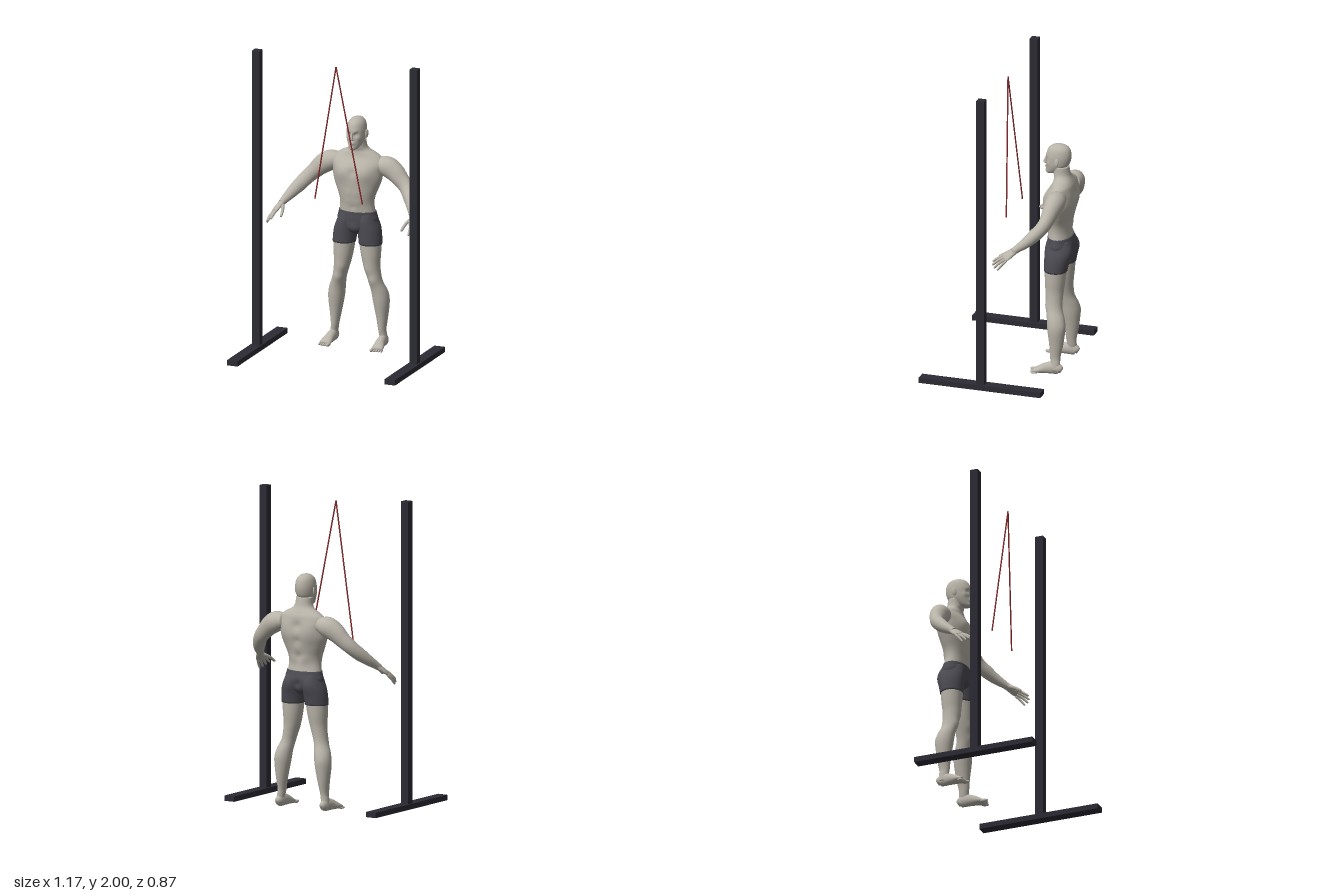
import * as THREE from 'three';

const mat = (name, color) => {
  const m = new THREE.MeshStandardMaterial({ color });
  m.name = name;
  return m;
};

// Smooth tube through cross-sections [x, y, z, a, b]; a lies along ref, b across it.
// level = true keeps every ring horizontal (sections listed from bottom to top).
function loft(sections, { ref = [1, 0, 0], level = false, seg = 24, steps = 5 } = {}) {
  const curve = (f) => new THREE.CatmullRomCurve3(sections.map(f), false, 'catmullrom', 0.5);
  const path = curve((s) => new THREE.Vector3(s[0], s[1], s[2]));
  const size = curve((s) => new THREE.Vector3(s[3], s[4], 0));
  const n = (sections.length - 1) * steps;
  const pos = [], idx = [];
  const r = new THREE.Vector3(...ref);
  for (let i = 0; i <= n; i++) {
    const c = path.getPoint(i / n), s = size.getPoint(i / n);
    const t = level ? new THREE.Vector3(0, 1, 0) : path.getTangent(i / n);
    const u = r.clone().addScaledVector(t, -r.dot(t)).normalize();
    const v = t.clone().cross(u);
    for (let j = 0; j < seg; j++) {
      const k = (j / seg) * Math.PI * 2;
      const p = c.clone().addScaledVector(u, s.x * Math.cos(k)).addScaledVector(v, s.y * Math.sin(k));
      pos.push(p.x, p.y, p.z);
    }
  }
  for (let i = 0; i < n; i++) {
    for (let j = 0; j < seg; j++) {
      const a = i * seg + j, b = i * seg + ((j + 1) % seg);
      idx.push(a, b, b + seg, a, b + seg, a + seg);
    }
  }
  // end caps
  const first = path.getPoint(0), last = path.getPoint(1), k = pos.length / 3;
  pos.push(first.x, first.y, first.z, last.x, last.y, last.z);
  for (let j = 0; j < seg; j++) {
    const q = (j + 1) % seg;
    idx.push(k, q, j, k + 1, n * seg + j, n * seg + q);
  }
  const g = new THREE.BufferGeometry();
  g.setAttribute('position', new THREE.Float32BufferAttribute(pos, 3));
  g.setIndex(idx);
  g.computeVertexNormals();
  return g;
}

// Level sections from [y, halfWidth, frontZ, backZ]
const level = (rows, steps = 5, seg = 40) => loft(
  rows.map(([y, w, f, b]) => [0, y, (f + b) / 2, w, (f - b) / 2]), { level: true, steps, seg });

// Soft swellings and hollows [x, y, z, radius, height], the same on both sides
function sculpt(g, bumps) {
  const p = g.attributes.position, nrm = g.attributes.normal;
  for (let i = 0; i < p.count; i++) {
    const x = p.getX(i), y = p.getY(i), z = p.getZ(i);
    let d = 0;
    for (const [bx, by, bz, r, h] of bumps) {
      d += h * Math.exp(-((Math.abs(x) - bx) ** 2 + (y - by) ** 2 + (z - bz) ** 2) / (r * r));
    }
    p.setXYZ(i, x + nrm.getX(i) * d, y + nrm.getY(i) * d, z + nrm.getZ(i) * d);
  }
  g.computeVertexNormals();
  return g;
}

function mirrored(g) {
  const m = g.clone().scale(-1, 1, 1), a = m.index.array;
  for (let i = 0; i < a.length; i += 3) [a[i], a[i + 1]] = [a[i + 1], a[i]];
  m.computeVertexNormals();
  return m;
}

export function createModel() {
  const model = new THREE.Group();
  const skin = mat('skin', 0xb9b4a9);
  const cloth = mat('shorts grey', 0x4c4b53);
  const frame = mat('frame black', 0x2c2b34);
  const red = mat('band red', 0x8e2b2b);

  const add = (name, g, m) => {
    const mesh = new THREE.Mesh(g, m);
    mesh.name = name;
    model.add(mesh);
    return mesh;
  };
  const pair = (name, g, m) => {
    add(name + 'Left', g, m);
    add(name + 'Right', mirrored(g), m);
  };

  // Stand: two uprights on long floor beams
  for (const s of [1, -1]) {
    const side = s > 0 ? 'Left' : 'Right';
    add('upright' + side, new THREE.BoxGeometry(0.053, 1.97, 0.053), frame).position.set(s * 0.548, 1.015, 0.025);
    add('floorBeam' + side, new THREE.BoxGeometry(0.073, 0.035, 0.82), frame).position.set(s * 0.548, 0.0175, 0.025);
  }

  // Hanging band
  for (const s of [1, -1]) {
    const top = new THREE.Vector3(0, 1.95, 0.025), end = new THREE.Vector3(s * 0.165, 1.04, -0.018);
    add('band' + (s > 0 ? 'Left' : 'Right'),
      new THREE.TubeGeometry(new THREE.LineCurve3(top, end), 1, 0.0048, 8), red);
  }

  // Torso and neck
  add('torso', sculpt(level([
    [0.89, 0.122, -0.256, -0.408], [0.95, 0.115, -0.25, -0.40], [1.0, 0.122, -0.242, -0.405],
    [1.06, 0.145, -0.238, -0.42], [1.12, 0.165, -0.238, -0.432], [1.18, 0.17, -0.243, -0.432],
    [1.22, 0.175, -0.258, -0.43], [1.26, 0.155, -0.282, -0.425], [1.285, 0.12, -0.29, -0.415],
    [1.305, 0.08, -0.292, -0.405], [1.33, 0.06, -0.285, -0.395], [1.38, 0.055, -0.28, -0.385],
  ], 6, 56), [
    [0.075, 1.16, -0.25, 0.055, 0.014], [0, 1.17, -0.24, 0.025, -0.008], // chest
    [0.03, 1.03, -0.24, 0.025, 0.003], [0.03, 0.97, -0.245, 0.025, 0.003], [0, 0.935, -0.25, 0.012, -0.004],
    [0.09, 1.17, -0.42, 0.06, 0.012], [0.04, 0.98, -0.40, 0.035, 0.006], // back
    [0, 1.2, -0.43, 0.03, -0.012], [0, 1.1, -0.43, 0.03, -0.01], [0, 1.0, -0.405, 0.025, -0.008],
  ]), skin);

  // Head
  add('head', sculpt(level([
    [1.322, 0.012, -0.243, -0.275], [1.33, 0.029, -0.238, -0.31], [1.35, 0.043, -0.236, -0.345],
    [1.38, 0.056, -0.236, -0.38], [1.41, 0.061, -0.236, -0.395], [1.45, 0.062, -0.236, -0.402],
    [1.49, 0.054, -0.248, -0.395], [1.513, 0.038, -0.27, -0.376], [1.523, 0.02, -0.295, -0.35],
    [1.527, 0.002, -0.32, -0.325],
  ], 6, 56), [
    [0.025, 1.425, -0.24, 0.014, -0.01], [0.022, 1.445, -0.24, 0.014, 0.004], // eyes and brow
    [0.042, 1.40, -0.255, 0.018, 0.004], [0, 1.336, -0.24, 0.018, 0.007], // cheeks and chin
    [0, 1.368, -0.236, 0.012, 0.008], [0.012, 1.368, -0.238, 0.01, 0.003],
  ]), skin);
  add('nose', loft([
    [0, 1.386, -0.232, 0.011, 0.008], [0, 1.392, -0.226, 0.014, 0.013], [0, 1.402, -0.226, 0.010, 0.011],
    [0, 1.42, -0.233, 0.007, 0.009], [0, 1.44, -0.238, 0.006, 0.006],
  ], { level: true, seg: 14 }), skin);
  const ear = new THREE.SphereGeometry(1, 14, 10).scale(0.007, 0.028, 0.017);
  ear.rotateY(-0.35).rotateX(-0.15).translate(0.066, 1.418, -0.322);
  pair('ear', ear, skin);

  // Arms
  pair('arm', sculpt(loft([
    [0.13, 1.215, -0.362, 0.05, 0.045], [0.19, 1.203, -0.36, 0.064, 0.064], [0.25, 1.172, -0.353, 0.057, 0.063],
    [0.30, 1.127, -0.343, 0.047, 0.053], [0.345, 1.083, -0.323, 0.043, 0.047], [0.385, 1.035, -0.282, 0.04, 0.044],
    [0.42, 0.992, -0.233, 0.034, 0.036], [0.447, 0.955, -0.183, 0.025, 0.026], [0.46, 0.937, -0.16, 0.024, 0.021],
  ], { ref: [0, 0, 1] }), [
    [0.22, 1.23, -0.36, 0.05, 0.005], [0.27, 1.13, -0.30, 0.035, 0.005], [0.38, 1.06, -0.25, 0.03, 0.004],
  ]), skin);

  // Hands
  const across = [0.7, -0.4, -0.35];
  pair('palm', loft([
    [0.449, 0.951, -0.178, 0.022, 0.02], [0.46, 0.935, -0.158, 0.029, 0.018],
    [0.474, 0.914, -0.13, 0.036, 0.015], [0.485, 0.895, -0.108, 0.034, 0.010],
  ], { ref: across, seg: 16 }), skin);
  const finger = (name, a, b, c, r) => pair(name, loft([
    [...a, r, r], [...b, r, r], [...c, r * 0.75, r * 0.75],
    [...c.map((v, i) => v + (c[i] - b[i]) * 0.12), r * 0.2, r * 0.2],
  ], { ref: across, seg: 10, steps: 3 }), skin);
  finger('thumb', [0.447, 0.937, -0.152], [0.427, 0.912, -0.107], [0.419, 0.882, -0.062], 0.0105);
  finger('indexFinger', [0.462, 0.912, -0.112], [0.472, 0.892, -0.072], [0.478, 0.866, -0.034], 0.009);
  finger('middleFinger', [0.477, 0.904, -0.114], [0.491, 0.880, -0.073], [0.50, 0.850, -0.038], 0.009);
  finger('ringFinger', [0.490, 0.895, -0.120], [0.506, 0.868, -0.083], [0.514, 0.836, -0.053], 0.009);
  finger('littleFinger', [0.502, 0.888, -0.129], [0.514, 0.858, -0.101], [0.521, 0.826, -0.077], 0.008);

  // Shorts
  add('shortsWaist', sculpt(level([
    [0.745, 0.03, -0.295, -0.37], [0.77, 0.08, -0.268, -0.40], [0.80, 0.125, -0.254, -0.415],
    [0.85, 0.137, -0.251, -0.42], [0.88, 0.13, -0.252, -0.416], [0.903, 0.125, -0.253, -0.411],
  ]), [[0, 0.79, -0.255, 0.035, 0.008], [0, 0.82, -0.42, 0.02, -0.012], [0.065, 0.83, -0.42, 0.04, 0.014]]), cloth);
  pair('shortsLeg', sculpt(loft([
    [0.091, 0.685, -0.327, 0.0755, 0.0745], [0.086, 0.74, -0.332, 0.077, 0.081], [0.079, 0.79, -0.336, 0.075, 0.086],
    [0.068, 0.84, -0.337, 0.066, 0.085], [0.062, 0.885, -0.333, 0.055, 0.07],
  ], { level: true, seg: 32 }), [[0.07, 0.81, -0.42, 0.045, 0.008]]), cloth);

  // Legs
  pair('leg', sculpt(loft([
    [0.177, 0.03, -0.352, 0.024, 0.032], [0.169, 0.08, -0.35, 0.025, 0.032], [0.164, 0.12, -0.348, 0.026, 0.035],
    [0.161, 0.2, -0.353, 0.038, 0.046], [0.156, 0.3, -0.352, 0.053, 0.058], [0.146, 0.37, -0.345, 0.053, 0.058],
    [0.128, 0.43, -0.33, 0.046, 0.053], [0.115, 0.48, -0.325, 0.047, 0.054], [0.101, 0.55, -0.323, 0.055, 0.06],
    [0.095, 0.62, -0.325, 0.065, 0.067], [0.09, 0.70, -0.327, 0.073, 0.072],
  ], { level: true, seg: 32 }), [
    [0.125, 0.45, -0.275, 0.03, 0.006], [0.09, 0.52, -0.28, 0.03, 0.005], [0.17, 0.33, -0.405, 0.035, 0.004],
  ]), skin);

  // Feet and toes
  pair('foot', loft([
    [0.172, 0.026, -0.392, 0.012, 0.016], [0.172, 0.036, -0.376, 0.024, 0.034], [0.172, 0.043, -0.335, 0.028, 0.041],
    [0.175, 0.036, -0.285, 0.032, 0.034], [0.18, 0.024, -0.24, 0.038, 0.022], [0.181, 0.016, -0.21, 0.036, 0.013],
  ]), skin);
  for (let i = 0; i < 5; i++) {
    const r = i ? 0.0085 - i * 0.0003 : 0.0115;
    const toe = new THREE.SphereGeometry(1, 12, 8).scale(r, r, i ? 0.024 : 0.028);
    toe.rotateY(0.05 + i * 0.04).translate(0.152 + i * 0.0145 + (i ? 0.003 : 0), r + 0.002, -0.204 - i * 0.004);
    pair('toe' + (i + 1), toe, skin);
  }

  return model;
}
